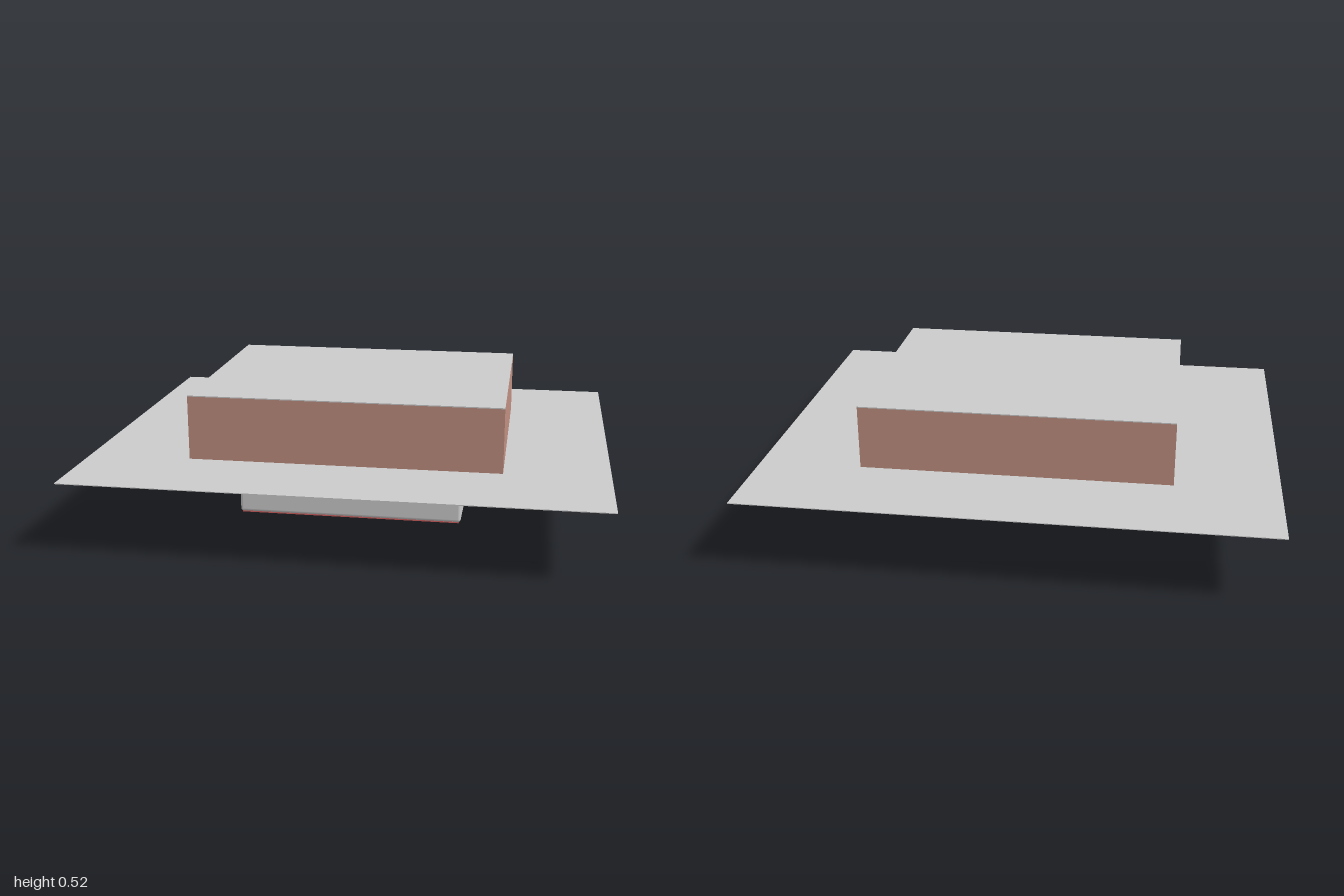
import * as THREE from 'three';
import { RoundedBoxGeometry } from 'three/addons/geometries/RoundedBoxGeometry.js';

export function createModel() {
  const model = new THREE.Group();

  const add = (name, geometry, color, x, y, z) => {
    const mesh = new THREE.Mesh(geometry, new THREE.MeshStandardMaterial({ color }));
    mesh.name = name;
    mesh.position.set(x, y, z);
    model.add(mesh);
    return mesh;
  };
  // Box standing between two heights
  const slab = (name, w, d, y0, y1, color) =>
    add(name, new THREE.BoxGeometry(w, y1 - y0, d), color, 0, (y0 + y1) / 2, 0);

  const GREY = 0xcccccc;

  // Wide thin sheet with the upper block and its cap
  slab('basePlate', 2, 1.662, 0.27, 0.273, GREY);
  slab('upperBlock', 1.204, 0.94, 0.273, 0.521, 0xc09080);
  slab('upperCap', 1.204, 0.94, 0.521, 0.525, GREY);

  // Softly rounded block hanging beneath the sheet
  add('lowerBlock', new RoundedBoxGeometry(0.882, 0.243, 0.682, 3, 0.012), GREY, 0, 0.1415, 0);
  slab('bottomPanel', 0.866, 0.668, 0.016, 0.021, 0xd06060);

  // Short round spacer between the sheet and the lower block
  add('spacer', new THREE.CylinderGeometry(0.053, 0.053, 0.01, 32), 0x666666, 0.265, 0.267, -0.13);

  // Small wedge under the panel, ridge pointing down
  const profile = new THREE.Shape([
    new THREE.Vector2(-0.016, 0.017),
    new THREE.Vector2(0, 0),
    new THREE.Vector2(0.016, 0.017),
  ]);
  const wedge = new THREE.ExtrudeGeometry(profile, { depth: 0.08, bevelEnabled: false });
  wedge.translate(0, 0, -0.04).rotateY(Math.PI / 2);
  add('wedge', wedge, 0xc8b040, 0.265, 0, -0.125);

  return model;
}
